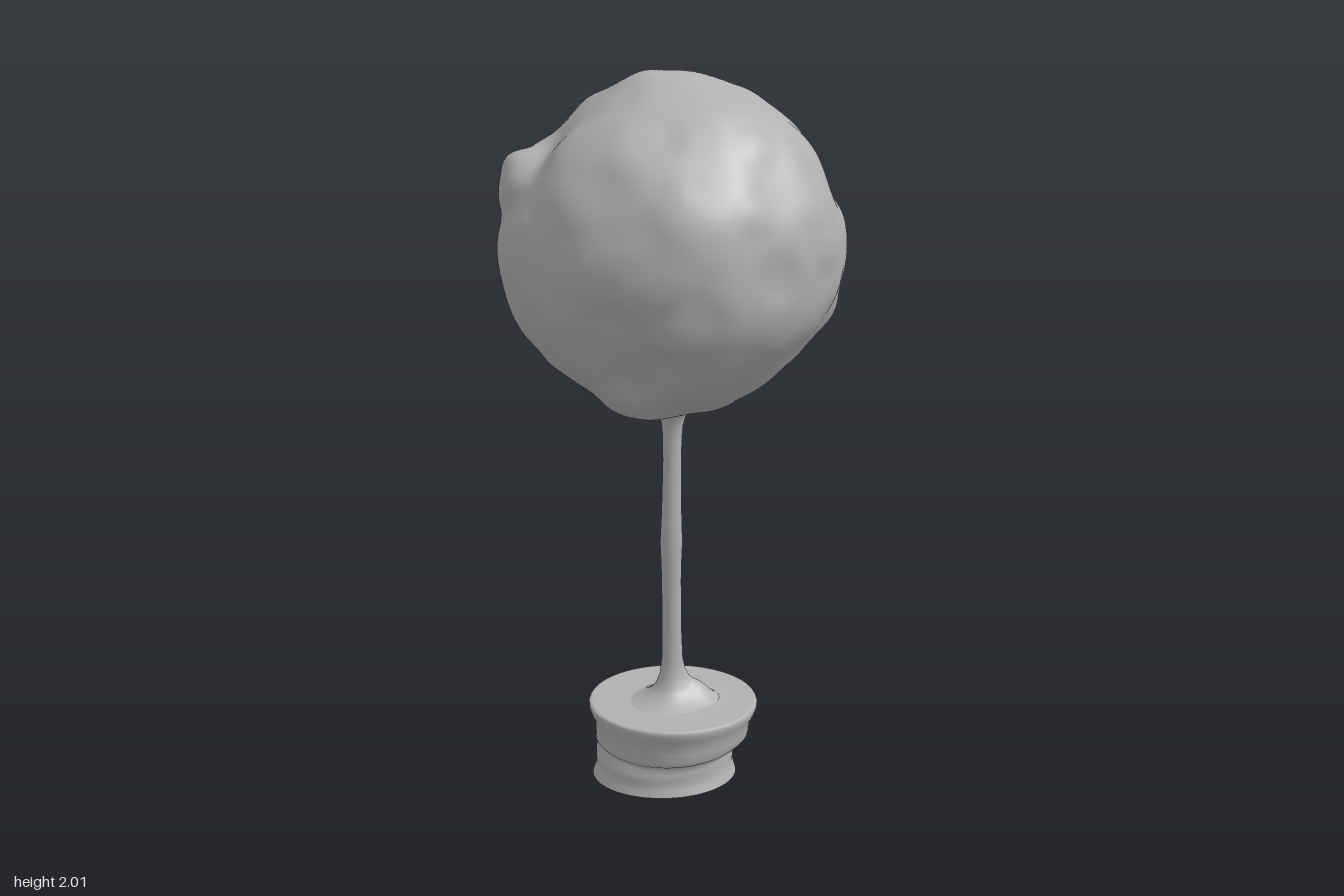
import * as THREE from 'three';
import { mergeVertices } from 'three/addons/utils/BufferGeometryUtils.js';

// Small seeded generator for the uneven foliage
function seeded(seed) {
  return () => {
    seed = (seed * 16807) % 2147483647;
    return seed / 2147483647;
  };
}

// Weld a geometry, move each vertex by a rule and smooth the normals
function sculpt(geometry, rule) {
  geometry.deleteAttribute('uv');
  geometry.deleteAttribute('normal');
  const g = mergeVertices(geometry, 1e-5);
  const p = g.attributes.position;
  const v = new THREE.Vector3();
  for (let i = 0; i < p.count; i++) {
    rule(v.fromBufferAttribute(p, i));
    p.setXYZ(i, v.x, v.y, v.z);
  }
  g.computeVertexNormals();
  return g;
}

function lathe(points, segments) {
  const curve = points.map(([r, y]) => new THREE.Vector2(r, y));
  return new THREE.LatheGeometry(curve, segments);
}

// Radii of the foliage around six great circles, in 16 equal steps;
// each circle is turned towards the given direction
const RINGS = [
  { facing: [0, 0, 1], radii: [0.474, 0.443, 0.436, 0.446, 0.462, 0.437, 0.422, 0.445, 0.472, 0.474, 0.458, 0.468, 0.462, 0.444, 0.456, 0.472] },
  { facing: [1, 0, 0], radii: [0.45, 0.468, 0.453, 0.456, 0.462, 0.457, 0.45, 0.46, 0.457, 0.454, 0.464, 0.472, 0.462, 0.476, 0.485, 0.48] },
  { facing: [0, 1, 0], radii: [0.478, 0.438, 0.44, 0.45, 0.453, 0.45, 0.445, 0.438, 0.472, 0.456, 0.442, 0.45, 0.457, 0.445, 0.45, 0.465] },
  { facing: [1, 0.68, 1], radii: [0.445, 0.443, 0.437, 0.446, 0.458, 0.425, 0.449, 0.445, 0.436, 0.416, 0.414, 0.436, 0.462, 0.416, 0.455, 0.45] },
  { facing: [-1, 0.68, -1], radii: [0.443, 0.434, 0.446, 0.447, 0.456, 0.44, 0.434, 0.452, 0.443, 0.442, 0.457, 0.482, 0.46, 0.441, 0.456, 0.45] },
  { facing: [1, -0.68, -1], radii: [0.454, 0.433, 0.446, 0.462, 0.456, 0.466, 0.462, 0.456, 0.455, 0.457, 0.446, 0.468, 0.474, 0.468, 0.466, 0.465] },
];

// Lumpy clipped ball: ring radii blended together, with lumps on top
function foliageGeometry() {
  const guides = [];
  for (const { facing, radii } of RINGS) {
    const f = new THREE.Vector3(...facing).normalize();
    const pole = f.y === 1 ? new THREE.Vector3(0, 0, -1) : new THREE.Vector3(0, 1, 0);
    const right = pole.cross(f).normalize();
    const up = f.clone().cross(right);
    radii.forEach((radius, i) => {
      const a = (i / radii.length) * Math.PI * 2;
      const dir = right.clone().multiplyScalar(Math.cos(a)).addScaledVector(up, Math.sin(a));
      guides.push({ dir, radius });
    });
  }

  const lumps = [];
  const add = (x, y, z, amp, width, power = 3) =>
    lumps.push({ dir: new THREE.Vector3(x, y, z).normalize(), amp, width, power });
  const rand = seeded(90817);
  for (let i = 0; i < 150; i++) {
    const y = rand() * 2 - 1, a = rand() * Math.PI * 2, r = Math.sqrt(1 - y * y);
    add(r * Math.cos(a), y, r * Math.sin(a), (rand() - 0.5) * 0.017, 0.09 + rand() * 0.14);
  }
  add(-0.43, 0.19, -0.03, 0.045, 0.19, 4);   // side knob
  add(-0.37, 0.24, -0.08, 0.016, 0.15);
  add(0, 0.16, -0.43, 0.015, 0.14, 4);       // back knobs
  add(-0.12, 0.04, -0.42, 0.007, 0.12, 4);
  add(0.34, -0.33, -0.1, 0.018, 0.2);        // low side lump
  add(-0.13, -0.43, 0.12, 0.012, 0.2);       // underside lump

  return sculpt(new THREE.IcosahedronGeometry(1, 42), (v) => {
    v.normalize();
    let weights = 0.1, sum = 0.1 * 0.445;
    for (const g of guides) {
      const w = Math.exp(-Math.pow(g.dir.angleTo(v) / 0.18, 2));
      weights += w;
      sum += w * g.radius;
    }
    let r = sum / weights;
    for (const l of lumps) r += l.amp * Math.exp(-Math.pow(l.dir.angleTo(v) / l.width, l.power));
    v.multiplyScalar(r);
  }).translate(0, 1.54, 0);
}

// Handmade pot, open underneath and closed by the soil at the top
function potGeometry() {
  const profile = [
    [0.202, 0], [0.195, 0.02], [0.191, 0.035], [0.193, 0.05], [0.192, 0.07], [0.189, 0.085], [0.199, 0.096],
    [0.212, 0.102], [0.219, 0.115], [0.221, 0.14], [0.225, 0.165], [0.235, 0.185], [0.24, 0.2],
    [0.24, 0.21], [0.237, 0.214], [0.23, 0.216], [0.19, 0.215], [0.13, 0.216], [0.07, 0.22], [0, 0.222],
  ];
  return sculpt(lathe(profile, 72), (v) => {
    const a = Math.atan2(v.z, v.x);
    const low = 1 - THREE.MathUtils.smoothstep(v.y, 0.07, 0.12);
    const mid = Math.sin(Math.PI * THREE.MathUtils.clamp(v.y / 0.2, 0, 1));
    const wobble = 1 + 0.012 * mid * Math.sin(3 * a + 1 + v.y * 25);
    v.x = v.x * wobble * (1 + 0.02 * low) - 0.028 * low;
    v.z = v.z * wobble * (1 - 0.08 * low) + 0.016 * low + 0.005;
    v.y += 0.006 * mid * Math.sin(2 * a + 0.6);
  });
}

// Stem flaring into the soil below and into the foliage above
function trunkGeometry() {
  const profile = [
    [0.135, 0.208], [0.12, 0.215], [0.105, 0.221], [0.09, 0.228], [0.075, 0.237], [0.06, 0.249],
    [0.048, 0.265], [0.037, 0.295], [0.031, 0.34], [0.029, 0.42], [0.028, 0.5], [0.027, 0.58],
    [0.028, 0.64], [0.03, 0.69], [0.028, 0.75], [0.027, 0.84], [0.027, 0.93], [0.028, 1.0],
    [0.031, 1.035], [0.037, 1.058], [0.046, 1.075], [0.06, 1.09], [0.08, 1.115],
  ];
  return sculpt(lathe(profile, 40), (v) => {
    const a = Math.atan2(v.z, v.x);
    const wobble = 1 + 0.05 * Math.sin(2 * a + v.y * 11);
    // Root lump on one side of the foot
    if (v.y < 0.3) v.y += 0.03 * Math.exp(-((v.x - 0.075) ** 2 + (v.z - 0.01) ** 2) / 0.0016);
    v.x = v.x * wobble - 0.004 + 0.002 * Math.sin(v.y * 7);
    v.z = v.z * wobble + 0.01 + 0.002 * Math.sin(v.y * 9 + 1);
  });
}

export function createModel() {
  const clay = new THREE.MeshStandardMaterial({ color: 0xb0b0b0, side: THREE.DoubleSide });
  clay.name = 'clay grey';

  const model = new THREE.Group();
  model.name = 'pottedTree';
  const part = (name, geometry) => {
    const mesh = new THREE.Mesh(geometry, clay);
    mesh.name = name;
    model.add(mesh);
    return mesh;
  };

  part('pot', potGeometry());
  part('trunk', trunkGeometry());
  part('foliage', foliageGeometry());

  // Recessed floor seen through the open underside of the pot
  const floor = part('potFloor', new THREE.CircleGeometry(0.182, 48));
  floor.rotation.x = Math.PI / 2;
  floor.position.set(-0.018, 0.085, 0.016);
  floor.scale.y = 0.95;

  return model;
}
